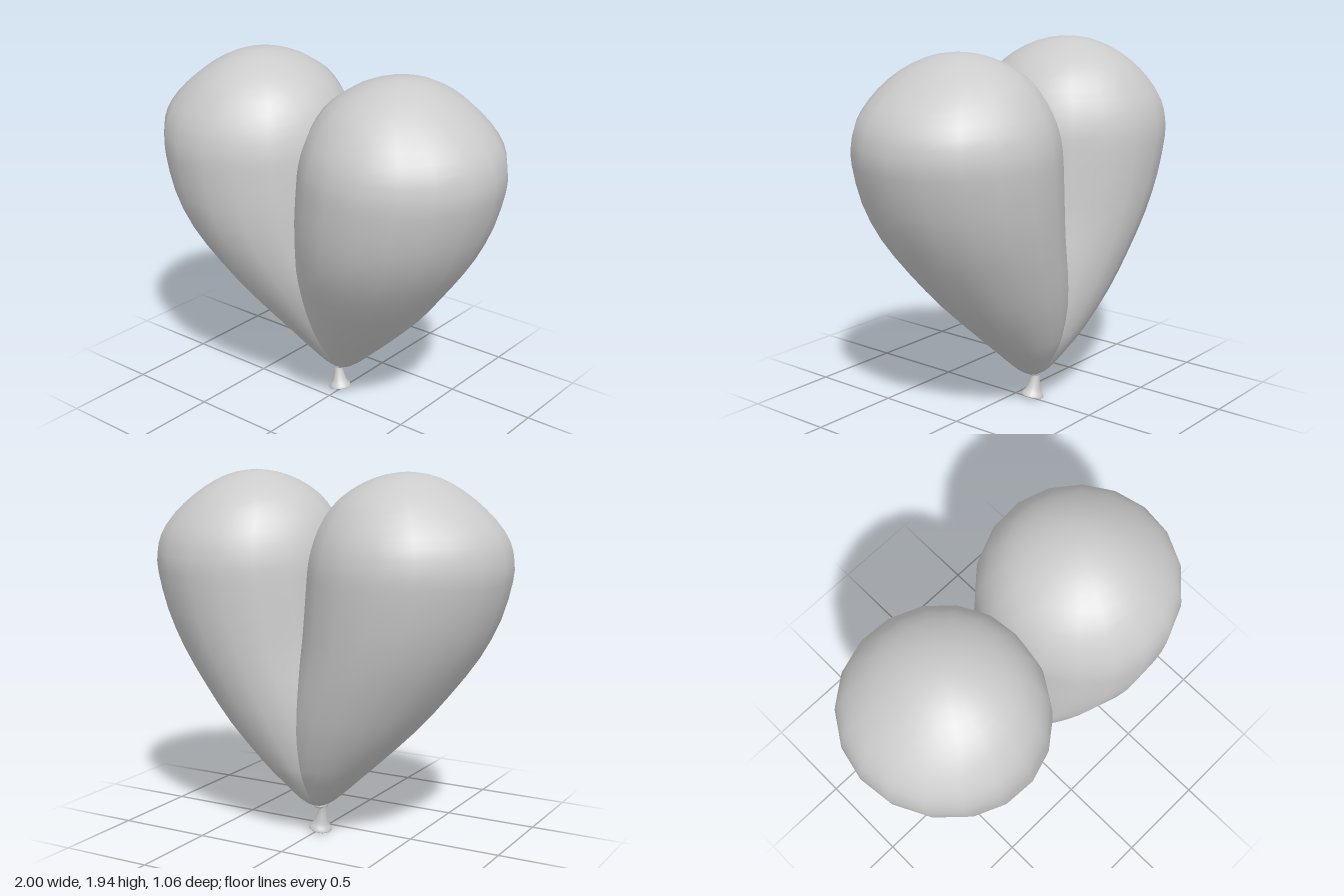
import * as THREE from 'three';
import { mergeVertices } from 'three/addons/utils/BufferGeometryUtils.js';

const SIDES = 18;
const RINGS = 32;
const material = new THREE.MeshStandardMaterial({ color: 0xcccccc, side: THREE.DoubleSide });

// Horizontal sections of one lobe: height, centre x, centre z, radius x, radius z
const sections = [
  [0.15, 0, -0.12, 0, 0], [0.16, 0.005, -0.12, 0.035, 0.04], [0.2, 0.02, -0.12, 0.085, 0.09],
  [0.3, 0.052, -0.115, 0.163, 0.165], [0.4, 0.092, -0.107, 0.23, 0.23],
  [0.6, 0.188, -0.075, 0.337, 0.335], [0.8, 0.28, -0.04, 0.41, 0.418],
  [1.0, 0.368, -0.012, 0.464, 0.483], [1.2, 0.428, 0, 0.505, 0.52],
  [1.4, 0.465, 0, 0.525, 0.533], [1.5, 0.473, 0, 0.522, 0.527], [1.6, 0.475, 0, 0.498, 0.502],
  [1.7, 0.463, 0, 0.442, 0.446], [1.8, 0.447, 0, 0.345, 0.365],
  [1.88, 0.446, 0, 0.225, 0.245], [1.925, 0.45, 0, 0.11, 0.12], [1.94, 0.45, 0, 0, 0],
];
const spline = pick => new THREE.CatmullRomCurve3(
  sections.map(s => new THREE.Vector3(...pick(s))), false, 'catmullrom');
const centres = spline(([y, cx, cz]) => [cx, y, cz]);
const radii = spline(([, , , rx, rz]) => [rx, 0, rz]);

// One balloon lobe: a grid of rings wrapped around the curved centre line.
// side is +1 or -1, shift moves the tied end sideways, grow enlarges it slightly.
function lobe(name, side, shift, grow) {
  const geometry = new THREE.PlaneGeometry(1, 1, SIDES, RINGS);
  const position = geometry.attributes.position;
  for (let i = 0; i < position.count; i++) {
    const column = i % (SIDES + 1);
    const t = 1 - Math.floor(i / (SIDES + 1)) / RINGS;
    const angle = -side * ((column % SIDES) / SIDES) * Math.PI * 2 - 0.05;
    const c = centres.getPoint(t);
    const r = radii.getPoint(t);
    position.setXYZ(i,
      side * (c.x + r.x * Math.cos(angle)) * grow + shift,
      0.15 + (c.y - 0.15) * grow,
      c.z + r.z * Math.sin(angle) * grow);
  }
  geometry.deleteAttribute('uv');
  geometry.deleteAttribute('normal');
  const welded = mergeVertices(geometry, 1e-5);
  welded.computeVertexNormals();
  const mesh = new THREE.Mesh(welded, material);
  mesh.name = name;
  return mesh;
}

export function createModel() {
  const model = new THREE.Group();
  model.name = 'heartBalloon';
  model.add(lobe('leftLobe', 1, 0, 1), lobe('rightLobe', -1, -0.006, 1.004));

  // Tied neck: knot ring above a hollow flared mouth
  const neck = new THREE.Group();
  neck.name = 'neck';
  neck.position.set(-0.016, 0.155, -0.12);

  const knot = new THREE.Mesh(new THREE.TorusGeometry(0.024, 0.013, 8, SIDES), material);
  knot.name = 'knot';
  knot.rotation.x = Math.PI / 2;

  const outline = new THREE.SplineCurve([
    [0.001, -0.08], [0.02, -0.1], [0.052, -0.13], [0.058, -0.139], [0.062, -0.136],
    [0.056, -0.123], [0.041, -0.1], [0.028, -0.055], [0.022, -0.015], [0.022, 0.01],
  ].map(([r, y]) => new THREE.Vector2(r, y)));
  const mouth = new THREE.Mesh(new THREE.LatheGeometry(outline.getPoints(27), SIDES), material);
  mouth.name = 'mouth';
  mouth.rotation.set(-0.08, 0, 0.18);
  mouth.position.x = -0.018;

  neck.add(knot, mouth);
  model.add(neck);
  return model;
}
